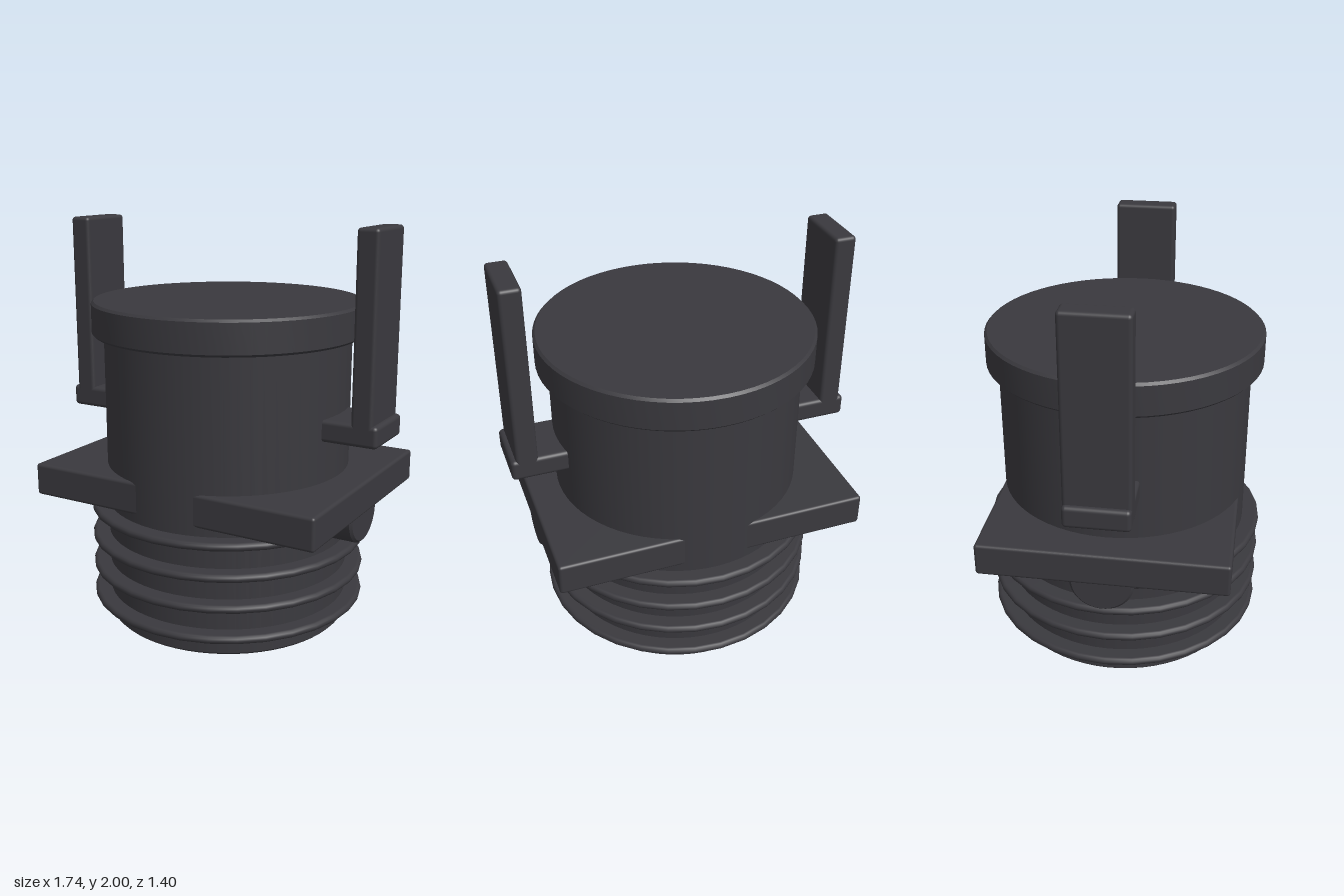
import * as THREE from 'three';
import { toCreasedNormals } from 'three/addons/utils/BufferGeometryUtils.js';
import { RoundedBoxGeometry } from 'three/addons/geometries/RoundedBoxGeometry.js';

// Solid drum with a chamfered rim at both ends
function drumGeometry(radius, bottom, top, bevel) {
  const profile = [
    [0, bottom], [radius - bevel, bottom], [radius, bottom + bevel],
    [radius, top - bevel], [radius - bevel, top], [0, top],
  ].map(([x, y]) => new THREE.Vector2(x, y));
  return toCreasedNormals(new THREE.LatheGeometry(profile, 64), 0.5);
}

export function createModel() {
  const model = new THREE.Group();
  model.name = 'threadedPlug';
  const charcoal = new THREE.MeshStandardMaterial({ color: 0x3a393e });
  charcoal.name = 'charcoal';

  const add = (name, geometry, x = 0, y = 0, z = 0) => {
    const mesh = new THREE.Mesh(geometry, charcoal);
    mesh.name = name;
    mesh.position.set(x, y, z);
    model.add(mesh);
    return mesh;
  };
  // Rounded box given by its extents in x and y, centred on z = 0
  const addBox = (name, x0, x1, y0, y1, depth, radius) =>
    add(name, new RoundedBoxGeometry(x1 - x0, y1 - y0, depth, 3, radius), (x0 + x1) / 2, (y0 + y1) / 2);

  // Main drum and cap
  add('body', drumGeometry(0.617, 0, 1.46, 0.012));
  add('cap', drumGeometry(0.675, 1.455, 1.622, 0.012));

  // Sealing ribs around the lower body
  for (let i = 0; i < 4; i++) {
    const rib = add('rib' + (i + 1), new THREE.TorusGeometry(0.682, 0.02, 12, 32), 0, 0.115 + i * 0.155);
    rib.rotation.x = Math.PI / 2;
    // flat web joining the rib to the body
    const web = add('ribWeb' + (i + 1), new THREE.CylinderGeometry(0.682, 0.682, 0.039, 32), 0, 0.115 + i * 0.155);
    web.rotation.y = Math.PI / 2;
  }

  // Rectangular flange; the body bulges slightly through its front and back
  addBox('flange', -0.775, 0.775, 0.64, 0.802, 1.19, 0.015);

  // Clip arms and round lugs on both sides
  for (const [side, s] of [['left', 1], ['right', -1]]) {
    const span = (a, b) => (s > 0 ? [a, b] : [-b, -a]);
    addBox(side + 'ArmFoot', ...span(0.55, 0.87), 1.005, 1.112, 0.31, 0.02);
    addBox(side + 'ArmUpright', ...span(0.738, 0.845), 1.03, 2, 0.31, 0.018);
    const lug = add(side + 'Lug', drumGeometry(0.153, -0.11, 0.11, 0.012), s * 0.65, 0.64);
    lug.rotation.z = Math.PI / 2;
  }
  return model;
}
